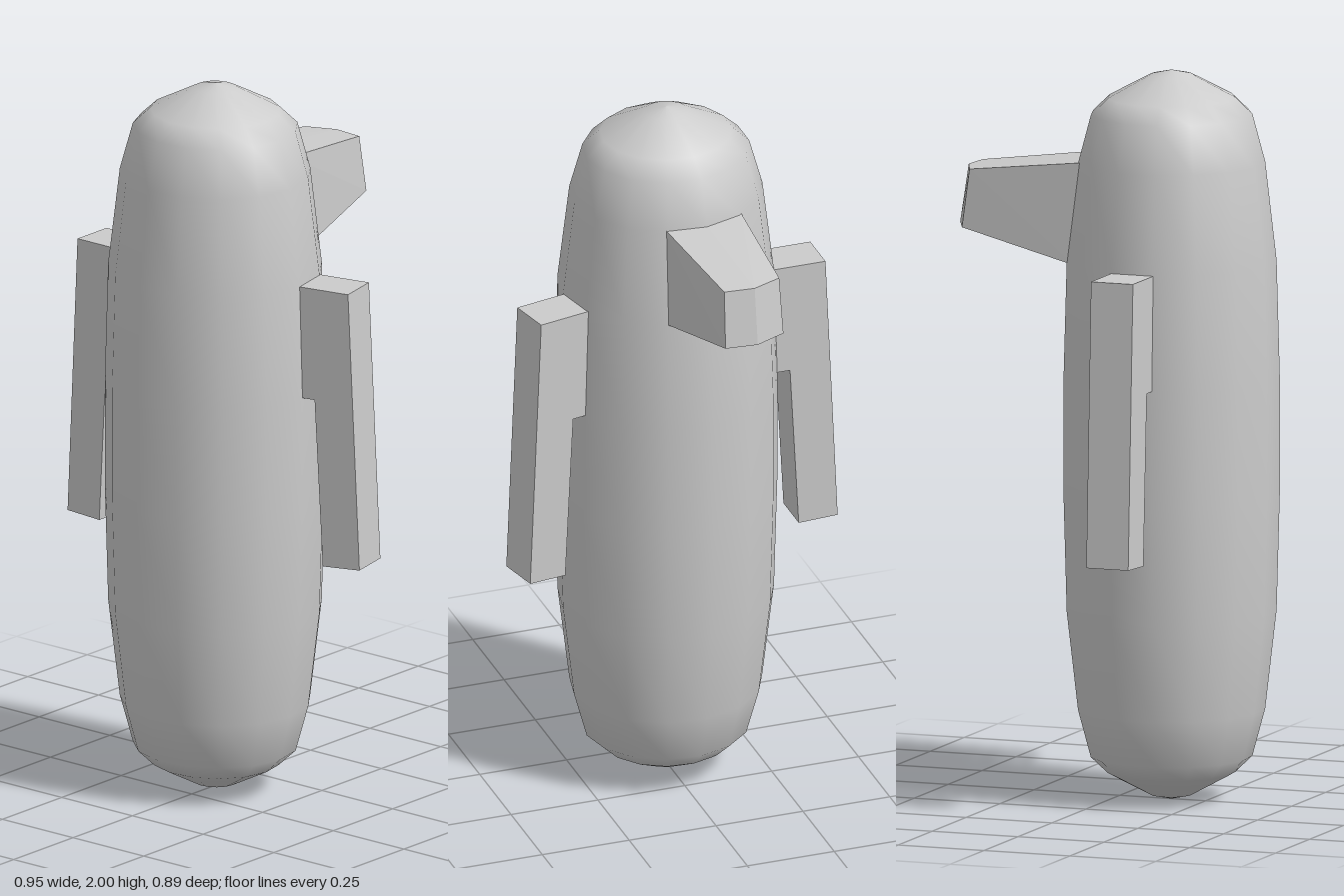
import * as THREE from 'three';

const smooth = new THREE.MeshStandardMaterial({ color: 0xcccccc });
const flat = new THREE.MeshStandardMaterial({ color: 0xcccccc, flatShading: true });
const BODY_Z = 0.15;

// Fifteen-sided capsule, the same above and below its middle
function makeBody() {
  const half = [[0, 1], [0.06, 0.987], [0.18, 0.925], [0.228, 0.88], [0.264, 0.75], [0.296, 0.48], [0.305, 0.16]];
  const bottom = half.map(([r, h]) => new THREE.Vector2(r, 1 - h));
  const top = half.map(([r, h]) => new THREE.Vector2(r, 1 + h)).reverse();
  const geo = new THREE.LatheGeometry([...bottom, ...top], 15, Math.PI / 2);
  const body = new THREE.Mesh(geo, smooth);
  body.name = 'body';
  body.scale.z = 0.96;
  body.position.z = BODY_Z;
  return body;
}

// Stepped arm: wide shoulder against the body, slimmer part hanging below
function makeArm(name, angle) {
  const outline = [[0.24, 1.48], [0.24, 1.165], [0.335, 1.165], [0.36, 0.695], [0.472, 0.7], [0.437, 1.48]];
  const shape = new THREE.Shape(outline.map(([x, y]) => new THREE.Vector2(x, y)));
  const geo = new THREE.ExtrudeGeometry(shape, { depth: 0.122, bevelEnabled: false });
  geo.translate(0, 0, -0.061);
  const arm = new THREE.Mesh(geo, flat);
  arm.name = name;
  arm.rotation.y = angle;
  arm.position.z = BODY_Z;
  return arm;
}

// Tapered block on the back: a six-point ring at the body lofted to a smaller one
function makeBackBlock() {
  const root = [[-0.14, 1.75, -0.08], [-0.03, 1.75, -0.108], [0.083, 1.75, -0.098],
    [0.09, 1.48, -0.12], [-0.03, 1.48, -0.134], [-0.15, 1.48, -0.105]];
  const tip = [[-0.133, 1.715, -0.385], [-0.05, 1.715, -0.42], [0.035, 1.715, -0.413],
    [0.04, 1.555, -0.437], [-0.05, 1.555, -0.445], [-0.138, 1.555, -0.405]];
  // Sink the root a little into the body
  const sunk = root.map((p, i) => p.map((v, k) => v - 0.1 * (tip[i][k] - v)));
  const index = [];
  const quad = (a, b, c, d) => index.push(a, b, c, a, c, d);
  for (let i = 0; i < 6; i++) {
    const j = (i + 1) % 6;
    quad(i, j, 6 + j, 6 + i);
  }
  quad(6, 7, 10, 11);
  quad(7, 8, 9, 10);
  let geo = new THREE.BufferGeometry();
  geo.setAttribute('position', new THREE.Float32BufferAttribute([...sunk, ...tip].flat(), 3));
  geo.setIndex(index);
  geo = geo.toNonIndexed();
  geo.computeVertexNormals();
  const block = new THREE.Mesh(geo, flat);
  block.name = 'backBlock';
  return block;
}

export function createModel() {
  const model = new THREE.Group();
  model.name = 'capsuleFigure';
  model.add(
    makeBody(),
    makeArm('leftArm', THREE.MathUtils.degToRad(12.3)),
    makeArm('rightArm', Math.PI),
    makeBackBlock()
  );
  return model;
}
